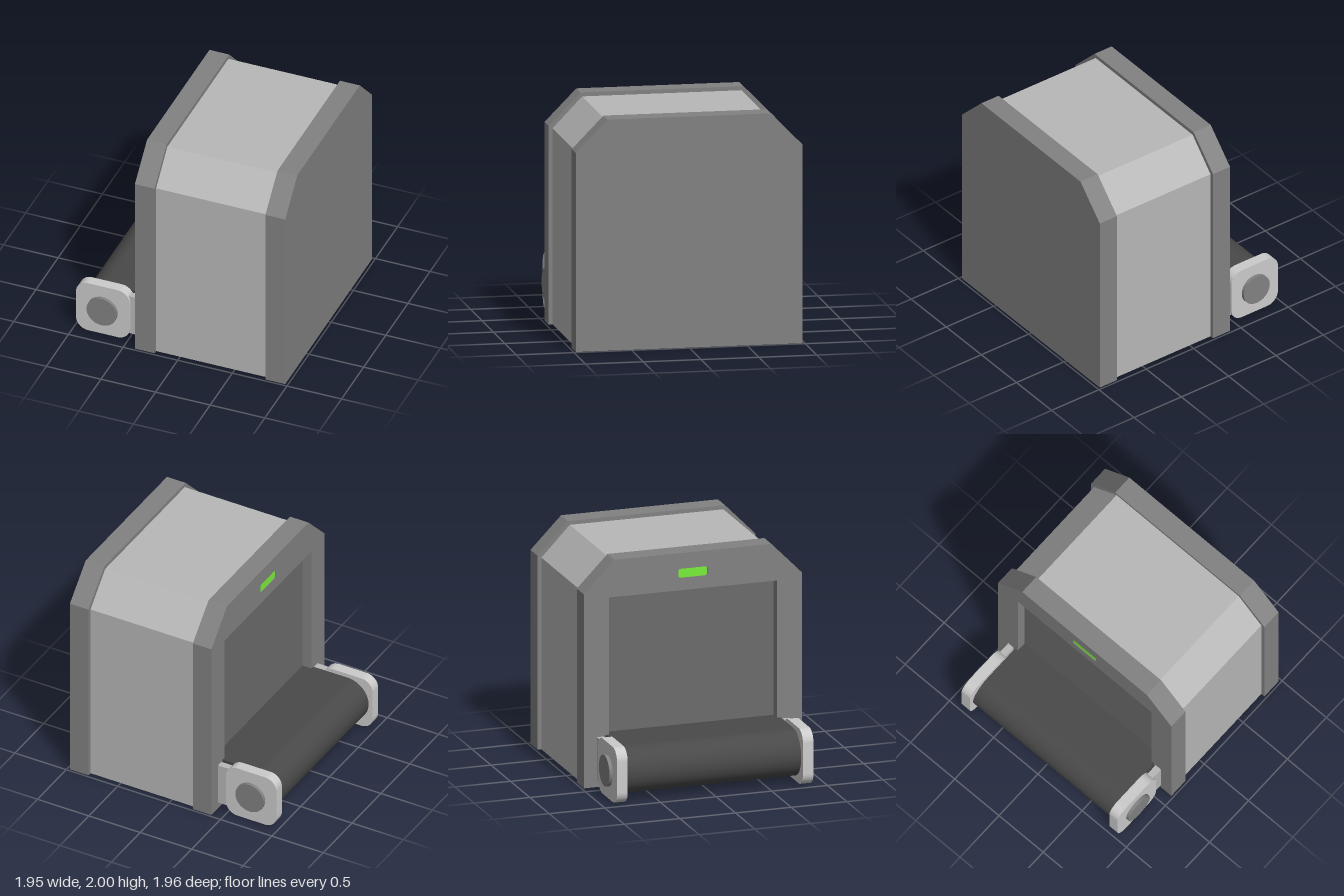
import * as THREE from 'three';
import { toCreasedNormals } from 'three/addons/utils/BufferGeometryUtils.js';

const paint = (color) => new THREE.MeshStandardMaterial({ color });
const lightGrey = paint(0xcccccc);
const bodyGrey = paint(0xb8b8b8);
const darkGrey = paint(0x828282);
const recessGrey = paint(0x6c6c6c);
const beltBlack = paint(0x494949);
const green = paint(0x78ee3a);

function addMesh(parent, name, geometry, material) {
  const mesh = new THREE.Mesh(geometry, material);
  mesh.name = name;
  parent.add(mesh);
  return mesh;
}

function extrude(shape, depth) {
  const geo = new THREE.ExtrudeGeometry(shape, { depth, bevelEnabled: false, curveSegments: 24 });
  return toCreasedNormals(geo, 0.5);
}

// Extrudes a (z, y) outline along x, from x0 to x1
function extrudeX(shape, x0, x1) {
  return extrude(shape, x1 - x0).rotateY(Math.PI / 2).translate(x0, 0, 0);
}

// Upright outline with both top corners cut off
function housingShape(half, top, flatHalf, shoulder) {
  return new THREE.Shape([
    [-half, 0], [half, 0], [half, shoulder], [flatHalf, top], [-flatHalf, top], [-half, shoulder],
  ].map(([x, y]) => new THREE.Vector2(x, y)));
}

function roundedRect(w, h, r, cx, cy, path = new THREE.Shape()) {
  const x = w / 2, y = h / 2;
  path.absarc(cx + x - r, cy - y + r, r, -Math.PI / 2, 0);
  path.absarc(cx + x - r, cy + y - r, r, 0, Math.PI / 2);
  path.absarc(cx - x + r, cy + y - r, r, Math.PI / 2, Math.PI);
  path.absarc(cx - x + r, cy - y + r, r, Math.PI, Math.PI * 1.5);
  path.closePath();
  return path;
}

export function createModel() {
  const model = new THREE.Group();
  const panelShape = () => housingShape(0.98, 2, 0.705, 1.72);

  // Housing between two thick end panels
  addMesh(model, 'housing', extrudeX(housingShape(0.945, 1.965, 0.69, 1.7), -0.22, 0.795), bodyGrey);
  addMesh(model, 'closedPanel', extrudeX(panelShape(), 0.795, 0.976), darkGrey);

  // Panel with the recessed doorway and the lamp slot
  const openFace = panelShape();
  const doorway = [[-0.755, 0.045], [-0.755, 1.67], [0.755, 1.67], [0.755, 0.045]]
    .map(([x, y]) => new THREE.Vector2(x, y));
  openFace.holes.push(new THREE.Path(doorway));
  openFace.holes.push(roundedRect(0.26, 0.08, 0.02, 0, 1.82, new THREE.Path()));
  addMesh(model, 'doorwayFrame', extrudeX(openFace, -0.4, -0.31), darkGrey);
  addMesh(model, 'panelBacking', extrudeX(panelShape(), -0.31, -0.22), darkGrey);
  addMesh(model, 'doorwayBack', extrudeX(new THREE.Shape(doorway), -0.313, -0.3), recessGrey);
  addMesh(model, 'lamp', extrudeX(roundedRect(0.26, 0.08, 0.02, 0, 1.82), -0.395, -0.3), green);

  // Conveyor belt with a round outer end, running into the doorway
  const cx = -0.733, cy = 0.25, r = 0.21;
  const beltShape = new THREE.Shape();
  beltShape.moveTo(-0.31, cy + r - 0.006);
  beltShape.lineTo(cx, cy + r - 0.003);
  beltShape.absarc(cx, cy, r - 0.003, Math.PI / 2, Math.PI * 1.5);
  beltShape.lineTo(-0.31, cy - r + 0.006);
  addMesh(model, 'conveyorBelt', extrude(beltShape, 1.57).translate(0, 0, -0.785), beltBlack);

  // Bearing block, axle cap and mounting arm at each end of the roller
  for (const side of [-1, 1]) {
    const bearing = new THREE.Group();
    bearing.name = side > 0 ? 'frontBearing' : 'backBearing';
    addMesh(bearing, 'bearingBlock', extrude(roundedRect(0.49, 0.49, 0.11, cx, 0.247), 0.095), lightGrey)
      .position.z = side * 0.835 - 0.0475;
    const cap = addMesh(bearing, 'axleCap', new THREE.CylinderGeometry(0.137, 0.137, 0.06, 40), darkGrey);
    cap.rotation.x = Math.PI / 2;
    cap.position.set(cx, 0.247, side * 0.883);
    const arm = addMesh(bearing, 'mountingArm', new THREE.BoxGeometry(0.2, 0.385, 0.06), bodyGrey);
    arm.position.set(-0.49, cy, side * 0.833);
    model.add(bearing);
  }
  return model;
}
